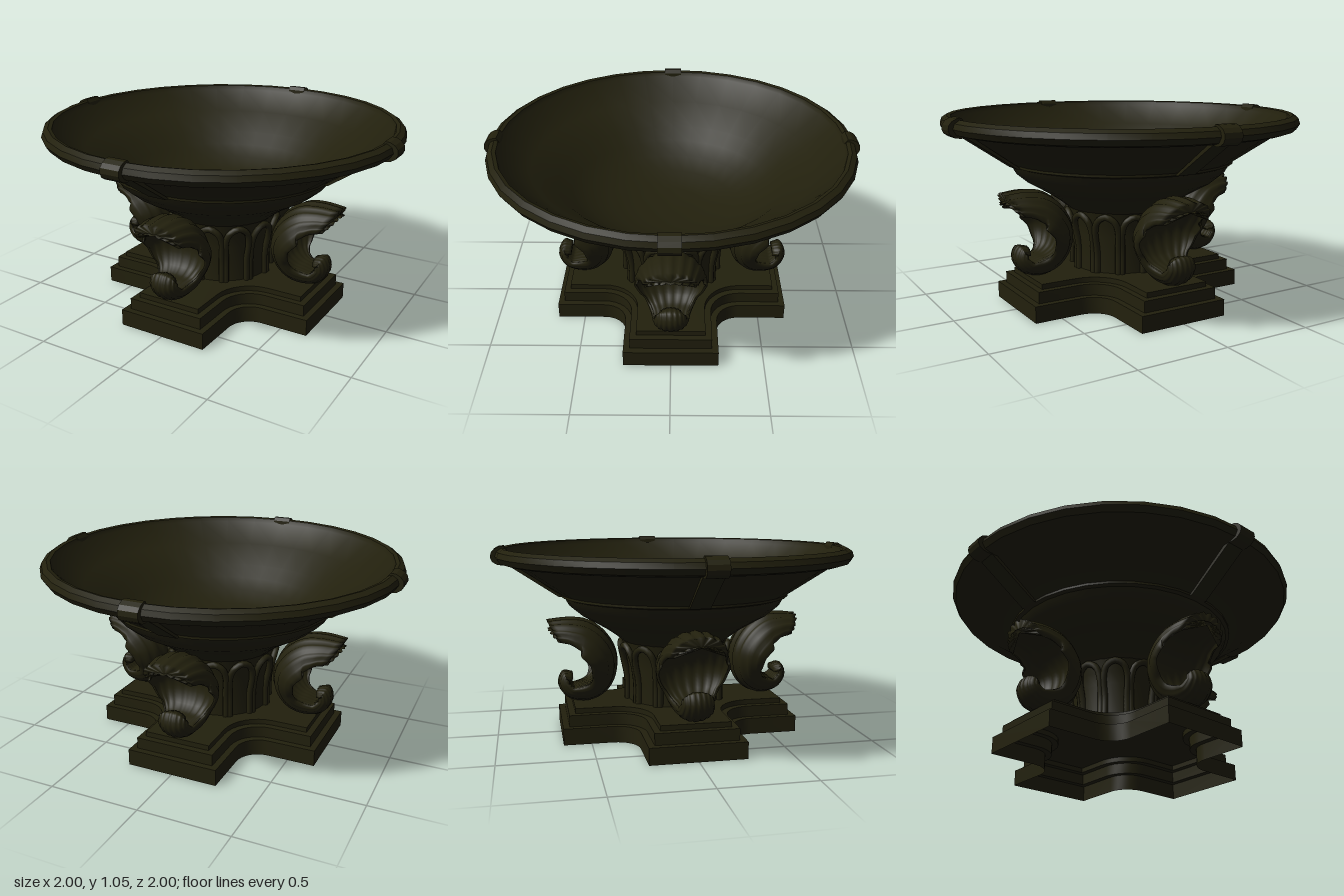
import * as THREE from 'three';
import { toCreasedNormals } from 'three/addons/utils/BufferGeometryUtils.js';

const V = (x, y, z = 0) => new THREE.Vector3(x, y, z);

// Skin a list of closed rings, optionally fanning the ends shut
function loft(rings, capStart, capEnd) {
  const n = rings[0].length, pos = [], idx = [];
  rings.forEach(r => r.forEach(p => pos.push(p.x, p.y, p.z)));
  for (let i = 0; i < rings.length - 1; i++) {
    for (let j = 0; j < n; j++) {
      const k = (j + 1) % n, a = i * n + j, b = i * n + k;
      idx.push(a, b, b + n, a, b + n, a + n);
    }
  }
  const cap = (row, flip) => {
    const c = V(0, 0);
    rings[row].forEach(p => c.addScaledVector(p, 1 / n));
    const m = pos.length / 3;
    pos.push(c.x, c.y, c.z);
    for (let j = 0; j < n; j++) {
      const a = row * n + j, b = row * n + (j + 1) % n;
      idx.push(m, flip ? b : a, flip ? a : b);
    }
  };
  if (capStart) cap(0, true);
  if (capEnd) cap(rings.length - 1, false);
  const g = new THREE.BufferGeometry();
  g.setAttribute('position', new THREE.Float32BufferAttribute(pos, 3));
  g.setIndex(idx);
  g.computeVertexNormals();
  return g;
}

// Cross-shaped outline with rounded inner corners, inset by d, at height y
function crossRing(d, y) {
  const half = 0.65 - d, w = 0.255 - d, c = 0.385, f = c - w, quad = [[w, half]];
  for (let i = 0; i <= 8; i++) {
    const a = Math.PI * (1 + i / 16);
    quad.push([c + f * Math.cos(a), c + f * Math.sin(a)]);
  }
  quad.push([half, w]);
  const ring = [];
  for (let k = 0; k < 4; k++) {
    const s = [0, 1, 0, -1][k], co = [1, 0, -1, 0][k];
    quad.forEach(([x, z]) => ring.push(V(x * co + z * s, y, z * co - x * s)));
  }
  return ring.reverse();
}

// Shell-like scroll: a ribbed crescent section swept along a C-shaped path
function scrollGeometry() {
  // radius, height, half width, cup depth, centre thickness
  const stations = [
    [0.705, 0.638, 0.14, 0.11, 0.04], [0.6, 0.646, 0.165, 0.14, 0.045],
    [0.5, 0.632, 0.18, 0.165, 0.05], [0.41, 0.57, 0.19, 0.17, 0.055],
    [0.348, 0.47, 0.19, 0.16, 0.06], [0.338, 0.37, 0.18, 0.15, 0.07],
    [0.37, 0.27, 0.15, 0.13, 0.085], [0.44, 0.205, 0.125, 0.105, 0.095],
    [0.53, 0.185, 0.105, 0.09, 0.095], [0.615, 0.212, 0.095, 0.068, 0.07],
    [0.658, 0.285, 0.085, 0.055, 0.058], [0.632, 0.348, 0.08, 0.045, 0.05],
    [0.58, 0.342, 0.06, 0.038, 0.04],
  ];
  const path = new THREE.CatmullRomCurve3(stations.map(s => V(s[0], s[1])));
  const size = new THREE.CatmullRomCurve3(stations.map(s => V(s[2], s[3], s[4])));
  const rings = [], steps = 44, m = 36;
  for (let i = 0; i <= steps; i++) {
    const t = i / steps, p = path.getPoint(t), tan = path.getTangent(t);
    const { x: w, y: d, z: th } = size.getPoint(t);
    const lip = Math.max(0, 1 - t * 4), ring = [];
    const add = (u, inner) => {
      const a = u * Math.PI / 2, fold = 1 - Math.cos(a);
      const rib = Math.abs(Math.cos(4.5 * Math.PI * u));
      const amp = 0.06 * w * rib;
      const depth = inner ? th + (d - th) * fold + amp * 0.5 : d * fold - amp;
      const slide = lip * (0.06 * u * u - 0.012 * rib);
      ring.push(V(
        p.x - tan.y * depth + tan.x * slide,
        p.y + tan.x * depth + tan.y * slide,
        w * (inner ? 0.93 : 1) * Math.sin(a)));
    };
    for (let j = 0; j <= m; j++) add(-1 + 2 * j / m, false);
    for (let j = 0; j <= m; j++) add(1 - 2 * j / m, true);
    rings.push(ring);
  }
  return loft(rings, true, true);
}

// Plate with a (radius, height) outline, given a width across
function plate(points, width) {
  const shape = new THREE.Shape(points.map(p => new THREE.Vector2(...p)));
  return new THREE.ExtrudeGeometry(shape, { depth: width, bevelEnabled: false })
    .translate(0, 0, -width / 2);
}

export function createModel() {
  const stone = new THREE.MeshStandardMaterial({ color: 0x22200d, side: THREE.DoubleSide });
  stone.name = 'dark olive stone';
  const model = new THREE.Group();
  model.name = 'pedestalBasin';
  const add = (name, geometry, parent = model) => {
    const mesh = new THREE.Mesh(geometry, stone);
    mesh.name = name;
    parent.add(mesh);
    return mesh;
  };
  const lathe = (pts, sides) => toCreasedNormals(
    new THREE.LatheGeometry(pts.map(p => new THREE.Vector2(...p)), sides), 0.6);

  // Stepped plinth, open underneath
  const tiers = [[0, 0], [0, 0.09], [0.035, 0.09], [0.035, 0.152], [0.07, 0.152], [0.07, 0.18]];
  add('plinth', toCreasedNormals(loft(tiers.map(t => crossRing(...t)), false, true), 0.5));

  // Basin: outside, rolled rim, then an inside that follows the outer wall
  add('basin', lathe([
    [0.26, 0.49], [0.3, 0.52], [0.35, 0.56], [0.4, 0.595], [0.46, 0.63], [0.53, 0.67],
    [0.59, 0.72], [0.615, 0.765], [0.635, 0.772], [0.635, 0.785], [0.89, 0.955],
    [0.93, 0.955], [0.963, 0.965], [0.982, 0.995], [0.972, 1.023], [0.945, 1.04],
    [0.925, 1.035], [0.915, 1.01], [0.76, 0.9], [0.62, 0.805], [0.55, 0.74],
    [0.46, 0.68], [0.35, 0.63], [0.2, 0.595], [0, 0.585],
  ], 32));

  // Column with a ring of raised, round-topped flutes
  add('columnCore', lathe([[0.265, 0.18], [0.265, 0.38], [0.28, 0.45], [0.3, 0.53]], 36));
  const column = new THREE.Group();
  column.name = 'columnFlutes';
  model.add(column);
  const arch = [[-1, 0.18], [-1, 0.3], [-1, 0.42], [-0.7, 0.475], [0, 0.5],
    [0.7, 0.475], [1, 0.42], [1, 0.3], [1, 0.18]].map(([u, y]) => {
    const a = u * 0.222, r = 0.27 + 0.035 * THREE.MathUtils.smoothstep(y, 0.3, 0.5);
    return V(r * Math.sin(a), y, r * Math.cos(a));
  });
  const archGeo = new THREE.TubeGeometry(new THREE.CatmullRomCurve3(arch), 32, 0.018, 7);
  for (let i = 0; i < 12; i++) {
    add('flute', archGeo, column).rotation.y = (i + 0.5) * Math.PI / 6;
  }

  // Four sides: scroll leg, rim clip and strap
  const scroll = scrollGeometry();
  const clip = plate([[0.91, 0.955], [0.935, 0.948], [0.965, 0.952], [0.99, 0.968], [1, 0.99],
    [0.997, 1.015], [0.98, 1.035], [0.955, 1.048], [0.93, 1.05], [0.915, 1.03]], 0.105);
  const strap = plate([[0.62, 0.772], [0.645, 0.772], [0.915, 0.952], [0.88, 0.952]], 0.105);
  for (let i = 0; i < 4; i++) {
    const side = new THREE.Group();
    side.name = 'side';
    side.rotation.y = i * Math.PI / 2;
    add('scrollLeg', scroll, side);
    add('rimClip', clip, side);
    add('strap', strap, side);
    model.add(side);
  }
  return model;
}
